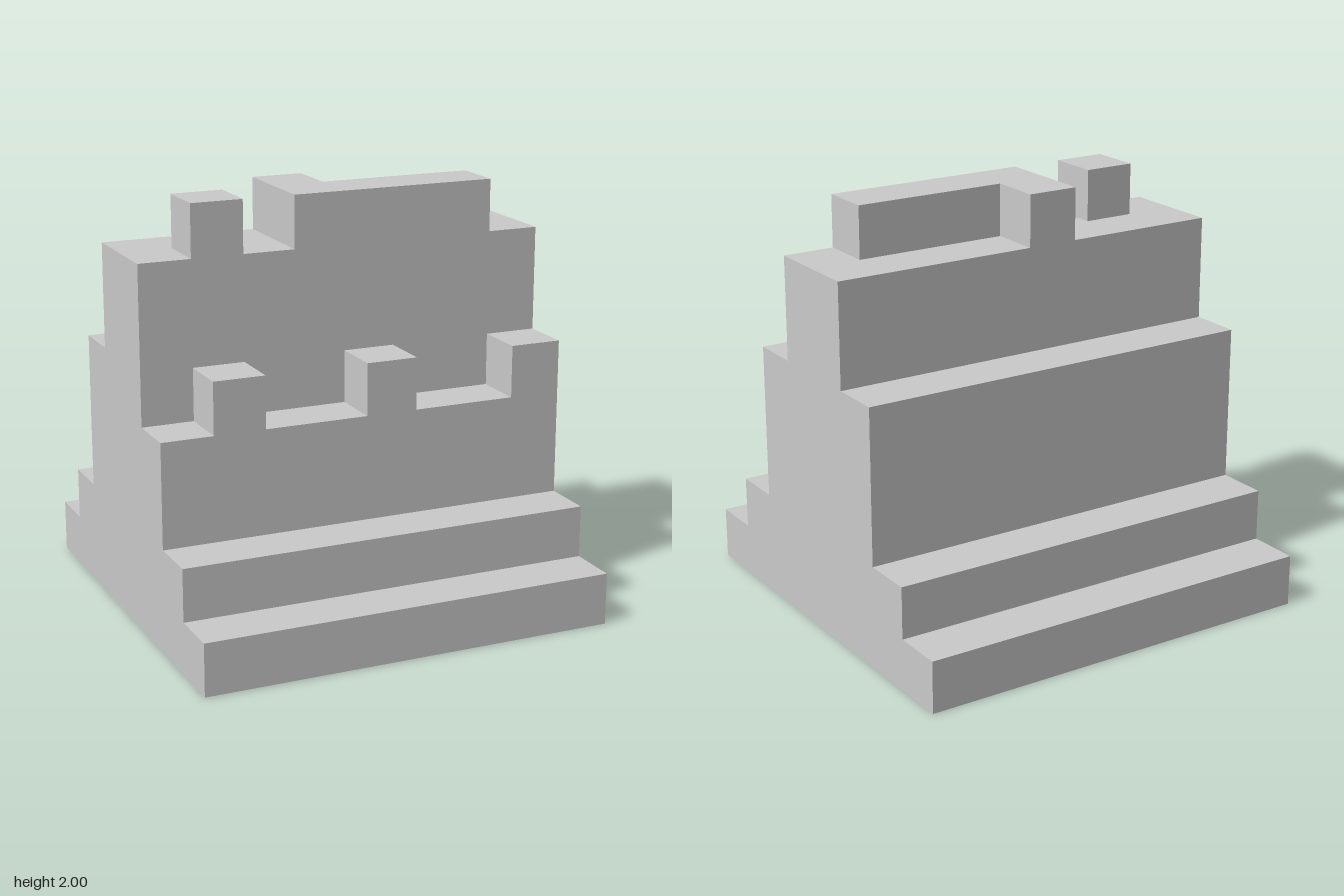
import * as THREE from 'three';

const material = new THREE.MeshStandardMaterial({ color: 0xcccccc, flatShading: true });

function extrude(points, depth) {
  const shape = new THREE.Shape(points.map(([a, b]) => new THREE.Vector2(a, b)));
  return new THREE.ExtrudeGeometry(shape, { depth, bevelEnabled: false });
}

function addPart(parent, name, geometry) {
  const mesh = new THREE.Mesh(geometry, material);
  mesh.name = name;
  parent.add(mesh);
  return mesh;
}

export function createModel() {
  const model = new THREE.Group();
  model.name = 'steppedBattlement';
  const unit = 0.25;

  // Stepped wall: (z, y) section swept along x, with the front ledge lower than the back one
  const section = [
    [-1, 0], [1, 0], [1, 0.25], [0.75, 0.25], [0.75, 0.5], [0.5, 0.5],
    [0.5, 1], [0.25, 1], [0.25, 1.75], [-0.25, 1.75], [-0.25, 1.25],
    [-0.5, 1.25], [-0.5, 0.5], [-0.75, 0.5], [-0.75, 0.25], [-1, 0.25],
  ];
  addPart(model, 'steppedWall', extrude(section, 2).translate(0, 0, -1).rotateY(-Math.PI / 2));

  // Single blocks, placed by their lower left back corner
  const block = (name, x, y, z) =>
    addPart(model, name, new THREE.BoxGeometry(unit, unit, unit))
      .position.set(x + unit / 2, y + unit / 2, z + unit / 2);
  for (const x of [-0.75, 0, 0.75]) block('ledgeMerlon', x, 1, 0.25);
  block('topMerlon', -0.75, 1.75, 0);

  // L-shaped parapet on top: (x, -z) outline raised upward
  const parapet = [[-0.25, -0.25], [0.75, -0.25], [0.75, 0], [0, 0], [0, 0.25], [-0.25, 0.25]];
  addPart(model, 'topParapet', extrude(parapet, unit).rotateX(-Math.PI / 2)).position.y = 1.75;

  return model;
}
